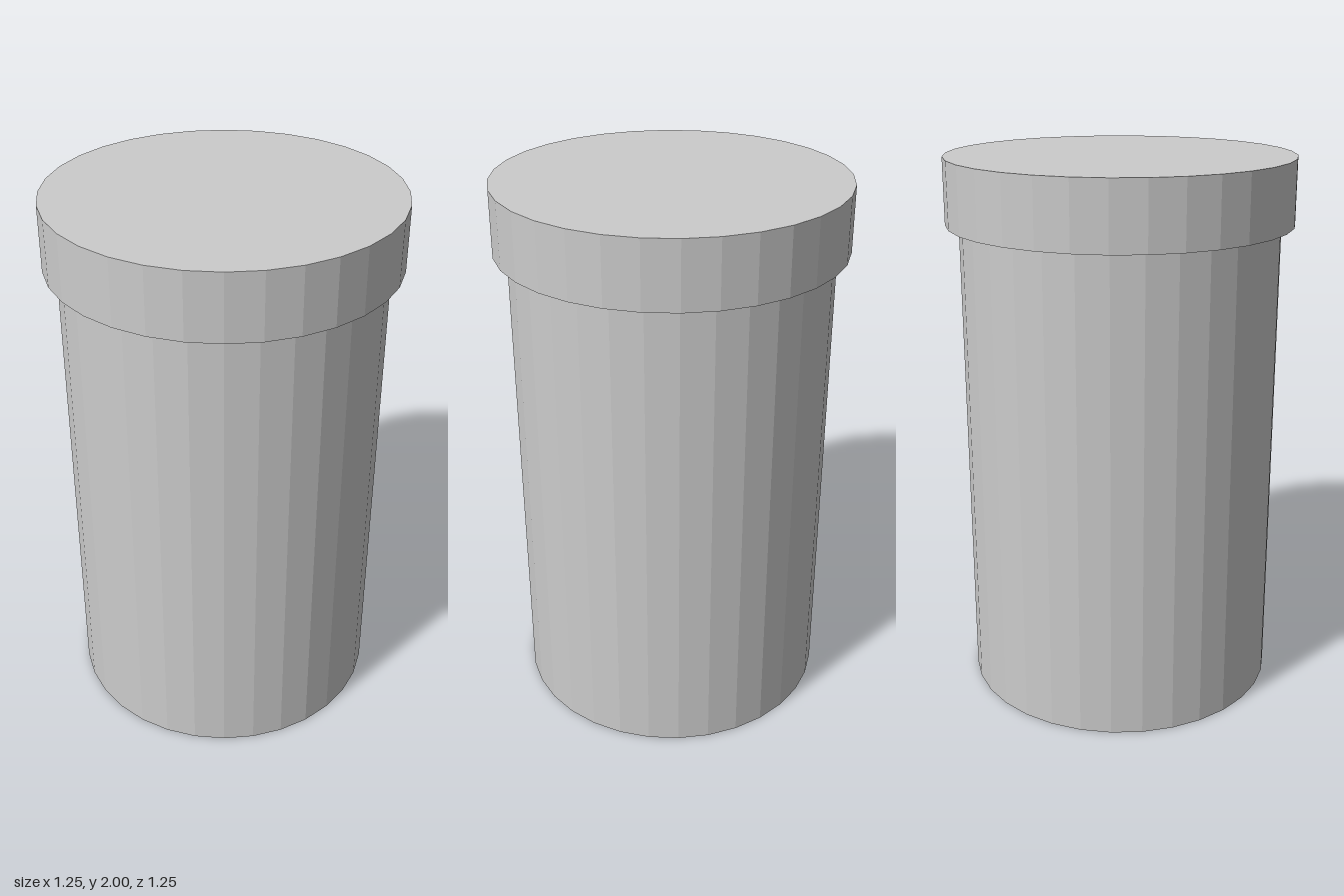
import * as THREE from 'three';

const SIDES = 32;

export function createModel() {
  const group = new THREE.Group();
  group.name = 'cappedCylinder';
  const material = new THREE.MeshStandardMaterial({ color: 0xcccccc, flatShading: true });

  // Upright closed cylinder spanning two heights
  const addCylinder = (name, radius, bottom, top) => {
    const geometry = new THREE.CylinderGeometry(radius, radius, top - bottom, SIDES);
    const mesh = new THREE.Mesh(geometry, material);
    mesh.name = name;
    mesh.position.y = (bottom + top) / 2;
    group.add(mesh);
  };

  addCylinder('body', 0.578, 0, 1.762);
  // Wider lid overhanging the body
  addCylinder('lid', 0.626, 1.762, 2);

  return group;
}
